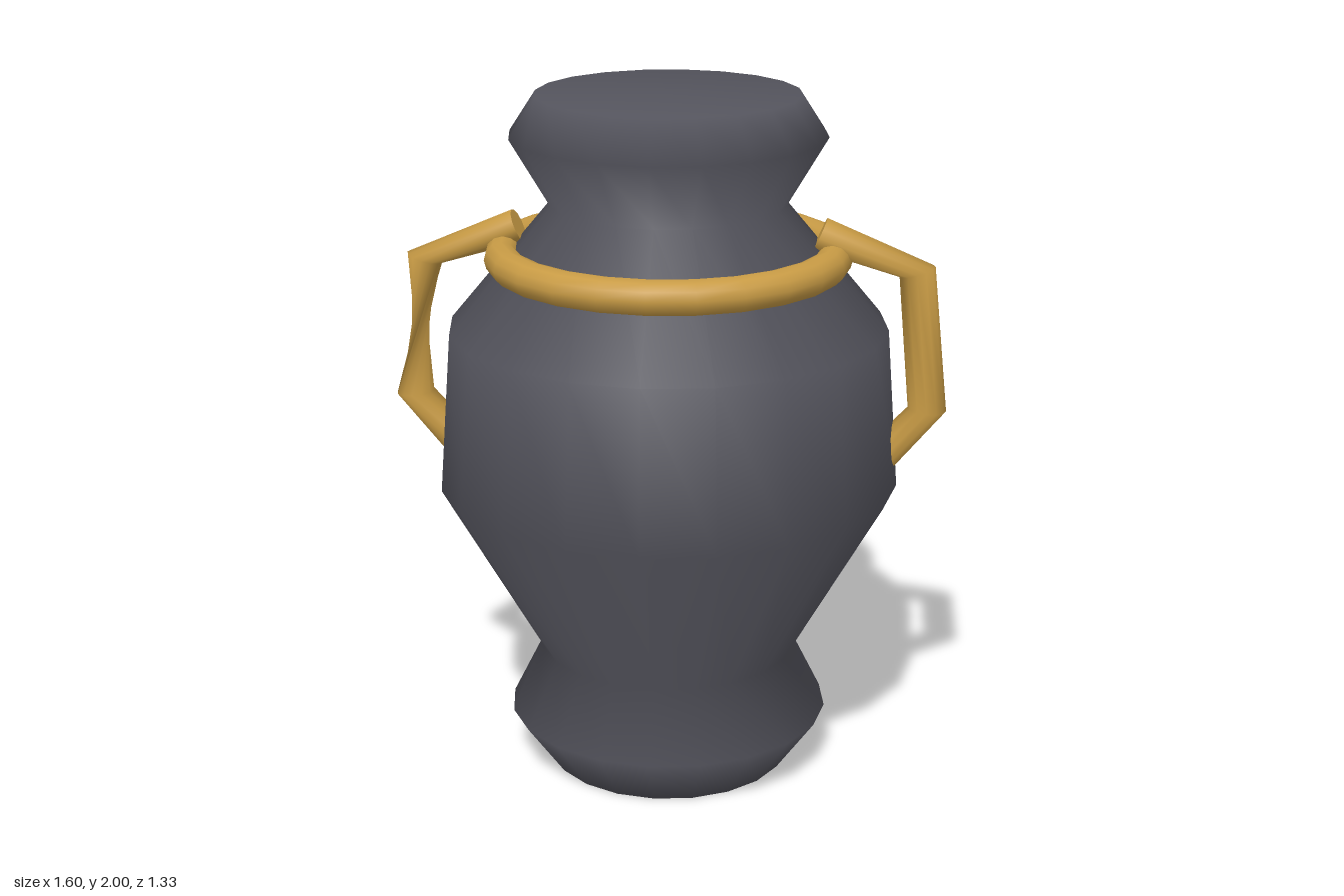
import * as THREE from 'three';

const clay = new THREE.MeshStandardMaterial({ color: 0x54545d });
clay.name = 'dark clay';
const gold = new THREE.MeshStandardMaterial({ color: 0xc89b45 });
gold.name = 'gold';

// Handle cross-sections: centre x, y and in-plane half axis x, y
const SECTIONS = [
  [0.43, 1.61, 0.02, 0.046],
  [0.705, 1.51, 0.05, 0.015],
  [0.745, 1.105, 0.055, -0.005],
  [0.6, 0.94, 0.035, -0.038],
];

// Loft through the sections; the lower two may be turned by a twist angle
function handleGeometry(twist) {
  const sides = 12, halfDepth = 0.054;
  const pos = [], index = [];
  const addRing = (k) => {
    const [cx, cy, ux, uy] = SECTIONS[k];
    for (let i = 0; i < sides; i++) {
      const a = (i / sides) * Math.PI * 2 + (k > 1 ? twist : 0);
      pos.push(cx + ux * Math.cos(a), cy + uy * Math.cos(a), halfDepth * Math.sin(a));
    }
  };
  SECTIONS.forEach((_, k) => addRing(k));
  for (let k = 0; k < SECTIONS.length - 1; k++) {
    for (let i = 0; i < sides; i++) {
      const j = (i + 1) % sides;
      const a = k * sides + i, b = k * sides + j, c = a + sides, d = b + sides;
      index.push(a, c, b, b, c, d);
    }
  }
  // End caps with their own vertices for crisp edges
  [0, SECTIONS.length - 1].forEach((k) => {
    const base = pos.length / 3;
    addRing(k);
    for (let i = 1; i < sides - 1; i++) {
      if (k === 0) index.push(base, base + i, base + i + 1);
      else index.push(base, base + i + 1, base + i);
    }
  });
  // Wind every face outward
  for (let i = 0; i < index.length; i += 3) {
    [index[i + 1], index[i + 2]] = [index[i + 2], index[i + 1]];
  }
  const geo = new THREE.BufferGeometry();
  geo.setAttribute('position', new THREE.Float32BufferAttribute(pos, 3));
  geo.setIndex(checkWinding(index, pos));
  geo.computeVertexNormals();
  return geo;
}

// Flip all faces if the enclosed volume comes out negative
function checkWinding(index, pos) {
  const v = (i) => new THREE.Vector3().fromArray(pos, i * 3);
  let volume = 0;
  for (let i = 0; i < index.length; i += 3) {
    volume += v(index[i]).dot(v(index[i + 1]).cross(v(index[i + 2])));
  }
  return volume < 0 ? index.slice().reverse() : index;
}

export function createModel() {
  const model = new THREE.Group();
  model.name = 'vase';
  const add = (name, geometry, material) => {
    const mesh = new THREE.Mesh(geometry, material);
    mesh.name = name;
    model.add(mesh);
    return mesh;
  };

  // Closed, smoothly shaded body turned from a profile
  const profile = [
    [0, 0], [0.355, 0], [0.47, 0.16], [0.373, 0.355], [0.665, 0.87],
    [0.63, 1.335], [0.335, 1.69], [0.45, 1.885], [0.375, 2], [0, 2],
  ].map(([r, y]) => new THREE.Vector2(r, y));
  add('body', new THREE.LatheGeometry(profile, 20), clay);

  // Ring around the shoulder
  const ring = new THREE.TorusGeometry(0.474, 0.05, 12, 24);
  ring.rotateX(Math.PI / 2);
  ring.translate(0, 1.54, 0);
  add('neckRing', ring, gold);

  // Handles: the left is plain, the right has a twisted grip
  add('leftHandle', handleGeometry(0), gold);
  add('rightHandle', handleGeometry(Math.PI * 0.84), gold).rotation.y = Math.PI;

  return model;
}
